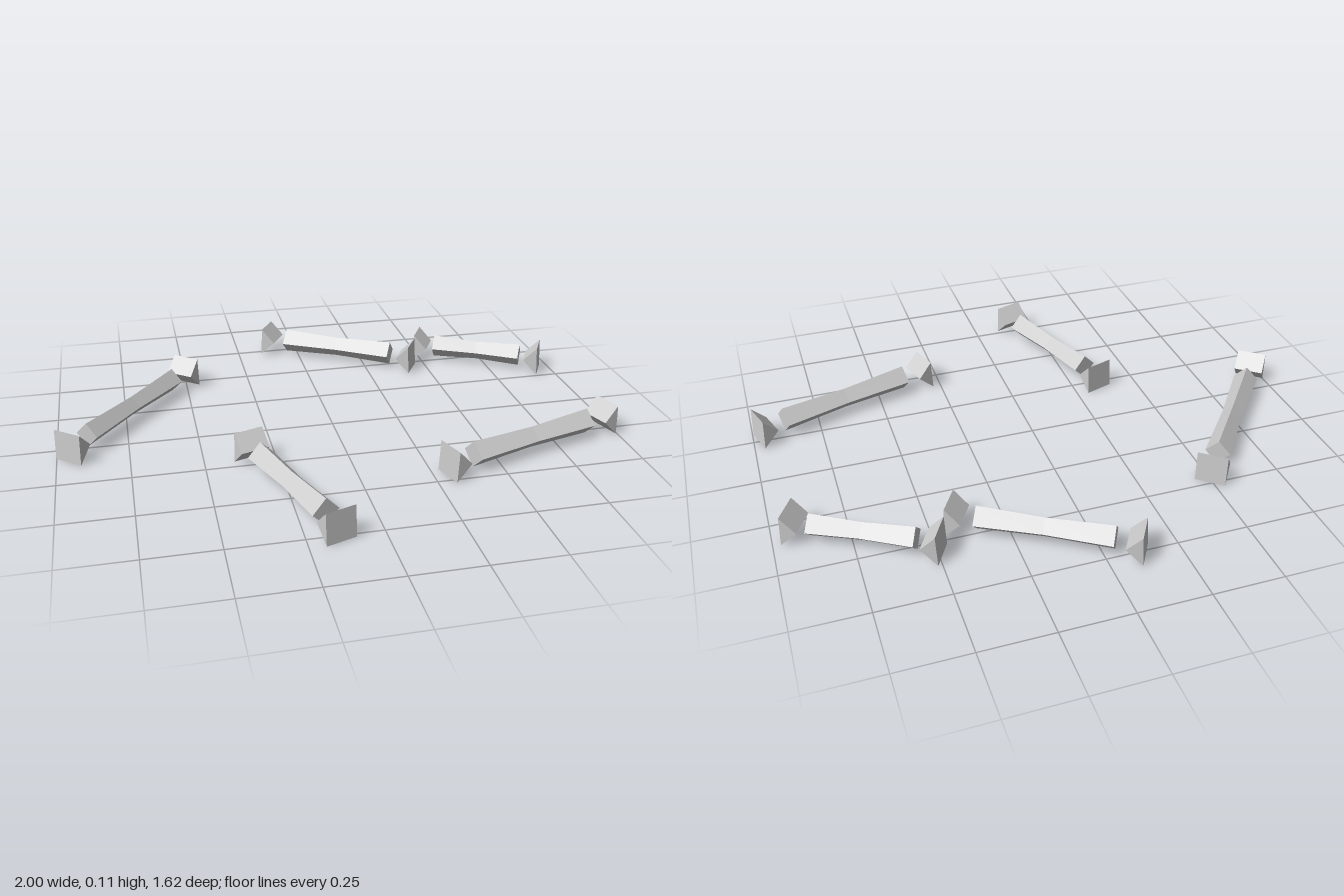
import * as THREE from 'three';

const bone = new THREE.MeshStandardMaterial({ color: 0xcccccc, flatShading: true });
bone.name = 'bone grey';

const CAP_W = 0.108, CAP_H = 0.112, CAP_D = 0.056;

// Diamond-section shaft along x, narrowed at the middle ring
function shaftGeometry(length, r) {
  const g = new THREE.CylinderGeometry(r, r, length, 4, 2);
  const p = g.attributes.position;
  for (let i = 0; i < p.count; i++) {
    if (Math.abs(p.getY(i)) < 0.001) {
      p.setX(i, p.getX(i) * 0.82);
      p.setZ(i, p.getZ(i) * 0.82);
    }
  }
  g.rotateZ(Math.PI / 2);
  g.computeVertexNormals();
  return g;
}

// Wedge knuckle: broad face outward (+x), horizontal ridge pointing back to the shaft
function capGeometry() {
  const s = new THREE.Shape();
  s.moveTo(-CAP_D / 2, 0);
  s.lineTo(CAP_D / 2 + 0.003, -CAP_H / 2);
  s.lineTo(CAP_D / 2 - 0.003, CAP_H / 2);
  s.closePath();
  const g = new THREE.ExtrudeGeometry(s, { depth: CAP_W, bevelEnabled: false });
  g.translate(0, 0, -CAP_W / 2);
  return g;
}

// One bone between two knuckle centres on the ground plane
function makeBone(x1, z1, x2, z2, r) {
  const g = new THREE.Group();
  const length = Math.hypot(x2 - x1, z2 - z1);
  const shaft = new THREE.Mesh(shaftGeometry(length * 0.775, r), bone);
  shaft.name = 'shaft';
  g.add(shaft);
  const geo = capGeometry();
  for (const side of [1, -1]) {
    const cap = new THREE.Mesh(geo, bone);
    cap.name = side > 0 ? 'farKnuckle' : 'nearKnuckle';
    cap.position.x = side * length / 2;
    cap.rotation.y = side > 0 ? 0 : Math.PI;
    g.add(cap);
  }
  g.position.set((x1 + x2) / 2, CAP_H / 2, (z1 + z2) / 2);
  g.rotation.y = -Math.atan2(z2 - z1, x2 - x1);
  return g;
}

export function createModel() {
  const model = new THREE.Group();
  model.name = 'scatteredBones';
  // Knuckle centres (x, z, x, z) and shaft radius
  const bones = [
    [-0.94, 0.07, -0.51, -0.47, 0.045],
    [-0.10, -0.755, 0.41, -0.45, 0.048],
    [0.515, -0.55, 0.92, -0.325, 0.046],
    [-0.335, 0.225, -0.155, 0.755, 0.048],
    [0.325, 0.46, 0.95, 0.26, 0.049],
  ];
  bones.forEach((b, i) => {
    const m = makeBone(...b);
    m.name = 'bone' + (i + 1);
    model.add(m);
  });
  return model;
}
